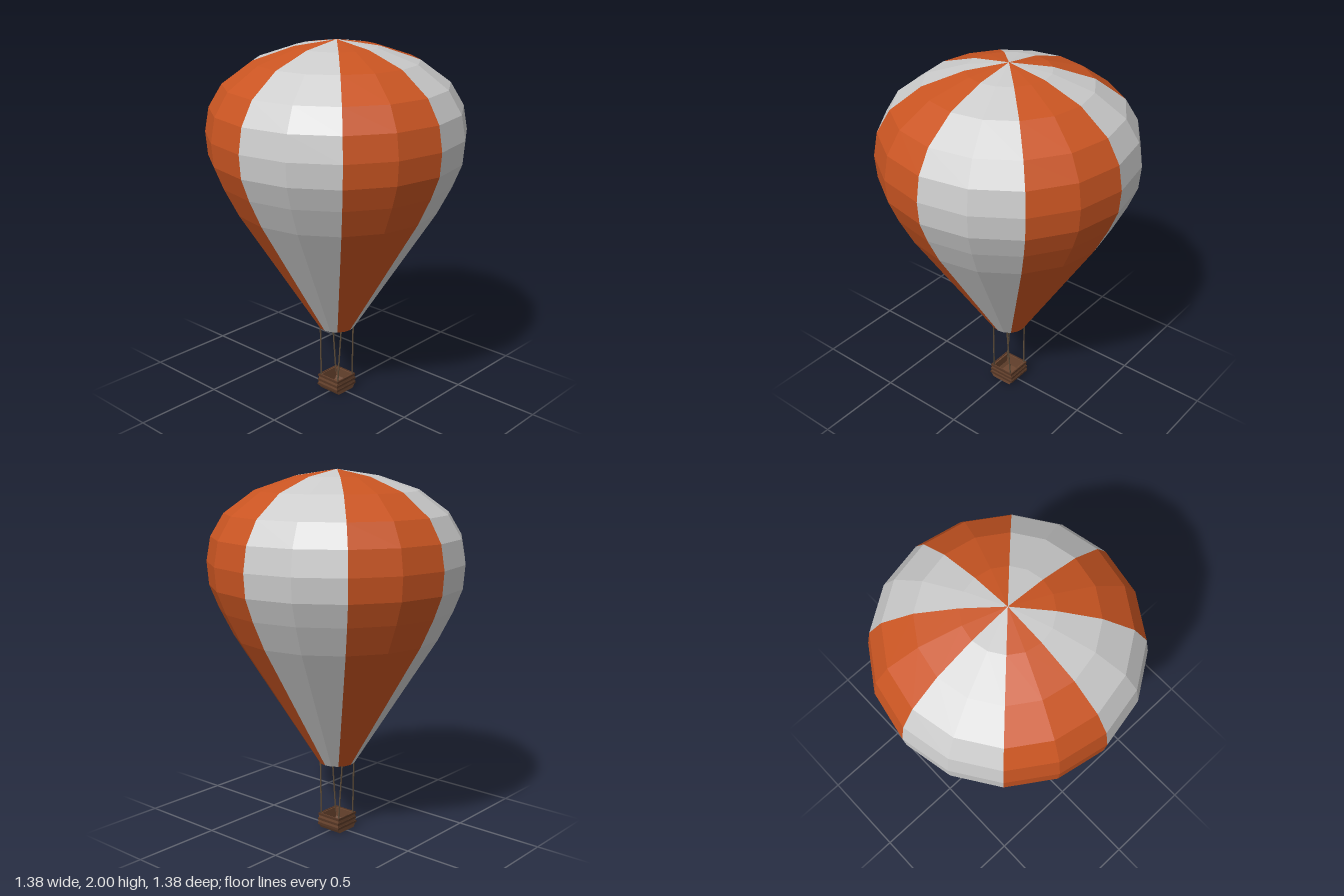
import * as THREE from 'three';

const mat = (color, extra = {}) =>
  new THREE.MeshStandardMaterial({ color, flatShading: true, ...extra });

function add(parent, name, geometry, material) {
  const mesh = new THREE.Mesh(geometry, material);
  mesh.name = name;
  parent.add(mesh);
  return mesh;
}

// Straight rod between two points
function rod(parent, name, a, b, radius, material) {
  const dir = b.clone().sub(a);
  const mesh = add(parent, name, new THREE.CylinderGeometry(radius, radius, dir.length(), 6), material);
  mesh.position.copy(a).add(b).multiplyScalar(0.5);
  mesh.quaternion.setFromUnitVectors(new THREE.Vector3(0, 1, 0), dir.normalize());
  return mesh;
}

// Outline in the z-y plane, extruded along x and centred
function extrudeAlongX(points, length) {
  const shape = new THREE.Shape(points.map(([z, y]) => new THREE.Vector2(z, y)));
  const geometry = new THREE.ExtrudeGeometry(shape, { depth: length, bevelEnabled: false });
  geometry.translate(0, 0, -length / 2);
  return geometry.rotateY(Math.PI / 2);
}

export function createModel() {
  const model = new THREE.Group();
  model.name = 'hotAirBalloon';
  const grey = mat(0xcccccc, { side: THREE.DoubleSide });
  const orange = mat(0xca5522, { side: THREE.DoubleSide });
  const wicker = mat(0x6b4630);
  const darkWicker = mat(0x543524);
  const rope = mat(0x5a4a38);

  // Envelope: eight gores, two facets each, in alternating colours
  const envelope = new THREE.Group();
  envelope.name = 'envelope';
  model.add(envelope);
  const profile = [
    [0.1, 0.397], [0.555, 1.124], [0.632, 1.278], [0.68, 1.4], [0.69, 1.525],
    [0.667, 1.655], [0.595, 1.775], [0.434, 1.893], [0.22, 1.966], [0, 2],
  ].map(([r, y]) => new THREE.Vector2(r, y));
  for (let i = 0; i < 8; i++) {
    const gore = new THREE.LatheGeometry(profile, 2, (i * Math.PI) / 4, Math.PI / 4);
    add(envelope, 'gore', gore, i % 2 ? orange : grey);
  }

  // Mouth: short inner band
  const band = add(envelope, 'mouthBand',
    new THREE.CylinderGeometry(0.096, 0.094, 0.025, 16, 1, true), grey);
  band.position.y = 0.411;

  // Basket: U-shaped shell with bulging sides, closed by two end panels
  const basket = new THREE.Group();
  basket.name = 'basket';
  model.add(basket);
  const outer = [[-0.072, 0.088], [-0.077, 0.03], [-0.06, 0.003], [0.06, 0.003], [0.077, 0.03], [0.072, 0.088]];
  const inner = [[0.06, 0.088], [0.064, 0.034], [0.053, 0.014], [-0.053, 0.014], [-0.064, 0.034], [-0.06, 0.088]];
  add(basket, 'shell', extrudeAlongX([...outer, ...inner], 0.144), wicker);
  for (const side of [-1, 1]) {
    const panel = add(basket, 'endPanel', extrudeAlongX(outer, 0.01), wicker);
    panel.position.x = side * 0.067;

    // Woven strips on the long sides and the ends
    for (const y of [0.032, 0.058, 0.085]) {
      const z = 0.077 - (y - 0.03) * 0.085;
      const strip = add(basket, 'longStrip', new THREE.BoxGeometry(0.15, 0.012, 0.007), darkWicker);
      strip.position.set(0, y, side * z);
      const endStrip = add(basket, 'endStrip', new THREE.BoxGeometry(0.007, 0.012, z * 2), darkWicker);
      endStrip.position.set(side * 0.0715, y, 0);
    }
  }

  // Four suspension ropes, from the basket corners to the mouth
  for (const sx of [-1, 1]) {
    for (const sz of [-1, 1]) {
      rod(model, 'rope', new THREE.Vector3(sx * 0.063, 0.06, sz * 0.062),
        new THREE.Vector3(sx * 0.08, 0.405, sz * 0.05), 0.0045, rope);
    }
  }
  return model;
}
